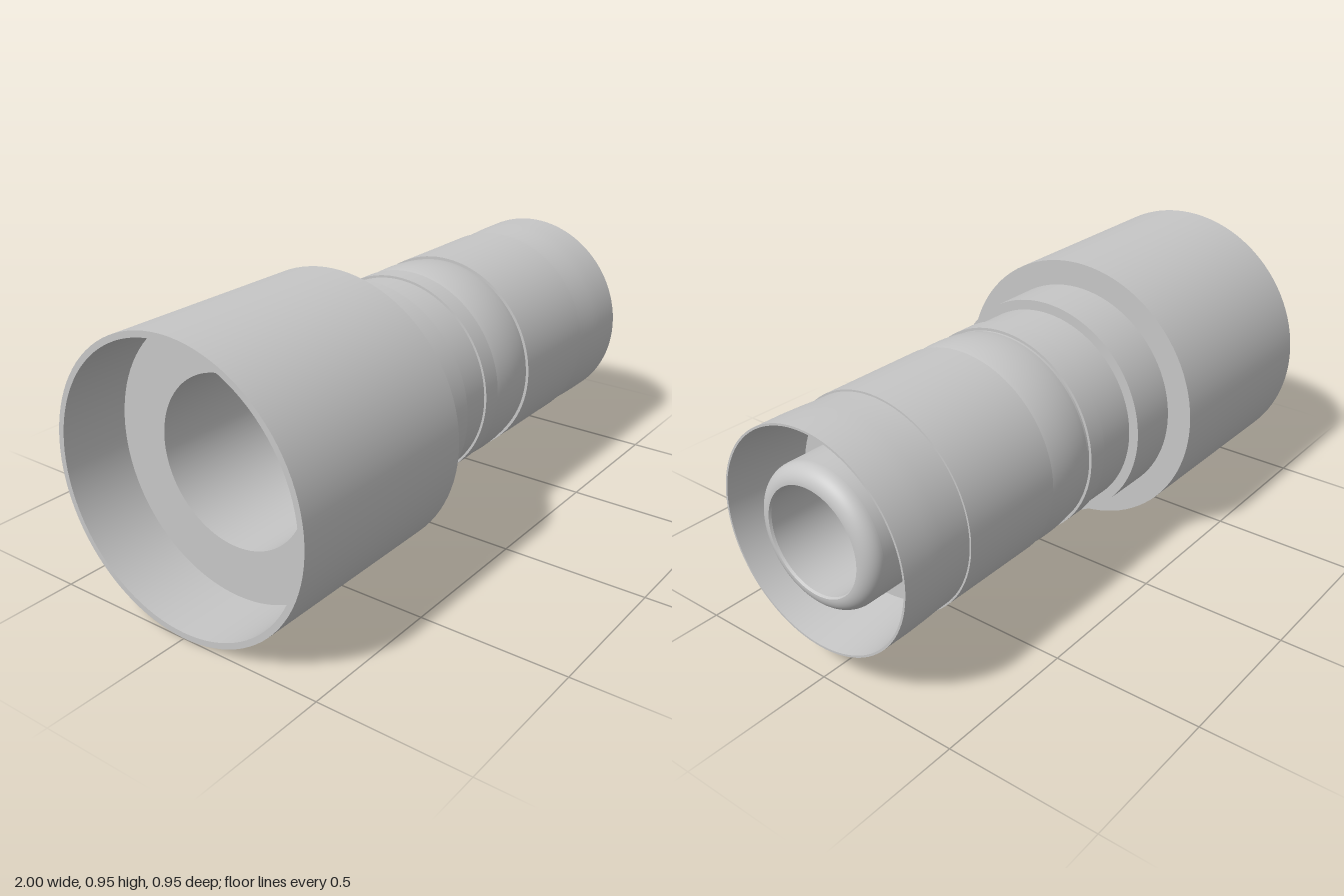
import * as THREE from 'three';

export function createModel() {
  const model = new THREE.Group();
  const metal = new THREE.MeshStandardMaterial({ color: 0xc6c6c6 });
  metal.name = 'lightGrey';
  const body = new THREE.Group();
  body.name = 'hoseFitting';
  // turn the lathe axis so that it runs along +x
  body.rotation.z = -Math.PI / 2;
  body.position.y = 0.475;
  model.add(body);

  // one smooth revolved surface through [x, radius] points
  const surface = (part, pts) => {
    const profile = pts.map(([x, r]) => new THREE.Vector2(r, x));
    part.add(new THREE.Mesh(new THREE.LatheGeometry(profile, 96), metal));
  };
  // sharp-edged part: every pair of points is its own surface
  const sharp = (name, pts) => {
    const part = new THREE.Group();
    part.name = name;
    for (let i = 1; i < pts.length; i++) surface(part, [pts[i - 1], pts[i]]);
    body.add(part);
    return part;
  };

  // large sleeve with its step
  sharp('sleeve', [[-1, 0.455], [-1, 0.475], [-0.27, 0.475], [-0.27, 0.388]]);
  sharp('collar', [[-0.27, 0.388], [-0.085, 0.388], [-0.085, 0.354]]);
  sharp('neck', [[-0.085, 0.354], [0.07, 0.354], [0.07, 0.362]]);
  sharp('ring', [[0.07, 0.362], [0.142, 0.362], [0.142, 0.353], [0.15, 0.353]]);

  // shallow rounded bulge
  const bulge = new THREE.Group();
  bulge.name = 'bulge';
  const bulgePoints = [];
  for (let i = 0; i <= 16; i++) {
    const t = i / 16;
    bulgePoints.push([0.15 + 0.195 * t, 0.353 + 0.009 * Math.sin(Math.PI * t) ** 0.8]);
  }
  surface(bulge, bulgePoints);
  body.add(bulge);

  sharp('barrel', [[0.345, 0.353], [0.345, 0.363], [0.73, 0.363], [0.73, 0.357]]);

  // flared skirt and its tapered socket
  const skirt = sharp('skirt', [[1, 0.363], [1, 0.356], [0.72, 0.325], [0.72, 0.232]]);
  surface(skirt, [[0.73, 0.357], [0.78, 0.358], [0.84, 0.361], [0.9, 0.363], [1, 0.363]]);

  // inner nozzle with a rounded lip
  const nozzle = sharp('nozzle', [[0.72, 0.232], [0.945, 0.232]]);
  const lip = [];
  for (let i = 0; i <= 16; i++) {
    const a = (Math.PI / 2) * (i / 16);
    lip.push([0.945 + 0.053 * Math.sin(a), 0.178 + 0.054 * Math.cos(a)]);
  }
  surface(nozzle, lip);

  // through bore, from the nozzle back to the sleeve mouth
  sharp('bore', [[0.998, 0.178], [0.99, 0.174], [0.5, 0.174], [0.4, 0.28], [-0.76, 0.28]]);
  sharp('sleeveSocket', [[-0.76, 0.28], [-0.76, 0.455], [-1, 0.455]]);

  return model;
}
